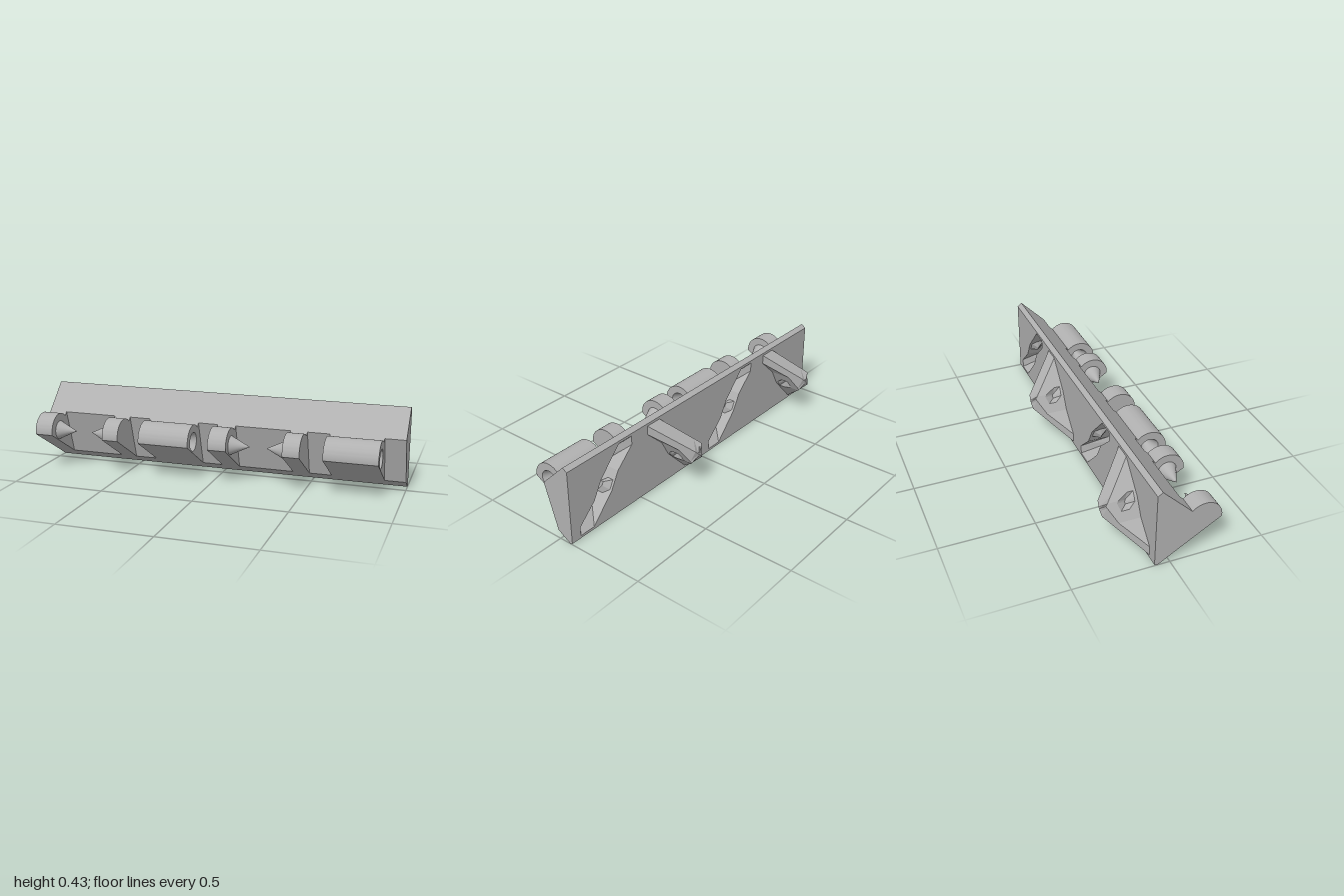
import * as THREE from 'three';
import { toCreasedNormals } from 'three/addons/utils/BufferGeometryUtils.js';

const BACK = -0.08, MID_Y = 0.21, R2 = Math.SQRT2;
const PIN = { y: 0.21, z: 0.17, r: 0.051 };

// Flat-faced geometry from a list of quads
function fromQuads(quads) {
  const pos = [];
  for (const [a, b, c, d] of quads) for (const p of [a, b, c, a, c, d]) pos.push(...p);
  const g = new THREE.BufferGeometry();
  g.setAttribute('position', new THREE.Float32BufferAttribute(pos, 3));
  g.computeVertexNormals();
  return g;
}

// S-shaped outline of the diagonal key: half-width along the diagonal
const SIDE = [[-0.27, 0], [-0.235, 0.035], [-0.09, 0.03], [0.01, 0.06], [0.205, 0.065], [0.27, 0]];
function high(t) {
  for (let i = 1; i < SIDE.length; i++) {
    const [t0, w0] = SIDE[i - 1], [t1, w1] = SIDE[i];
    if (t <= t1) return w0 + (w1 - w0) * (t - t0) / (t1 - t0);
  }
  return 0;
}
const low = t => -high(-t);
const STEPS = [-0.27, -0.235, -0.205, -0.09, -0.04, -0.01, 0, 0.01, 0.04, 0.09, 0.205, 0.235, 0.27];

// Pyramid-shaped key; used as a raised key or, inverted, as a socket
function keyGeometry(cx, socket) {
  const s = socket ? -1 : 1, maxDepth = socket ? 0.13 : 0.18;
  const depth = (t, w) =>
    Math.max(0, Math.min(maxDepth, (0.19 - (Math.abs(t) + Math.abs(w)) / R2) / 0.165 * 0.18));
  const point = (t, w, d) => [cx + s * (t - w) / R2, MID_Y + (t + w) / R2, BACK - s * d];
  const section = t => {
    const lo = low(t), hi = high(t), dl = depth(t, lo), dh = depth(t, hi);
    const dent = Math.abs(t) < 0.02 ? 0.03 : 0; // small detent in each wall
    return [
      point(t, lo, 0), point(t, lo, dl * 0.1), point(t, lo + dent, dl * 0.35), point(t, lo, dl * 0.65),
      point(t, lo, dl), point(t, 0, depth(t, 0)), point(t, hi, dh),
      point(t, hi, dh * 0.65), point(t, hi - dent, dh * 0.35), point(t, hi, dh * 0.1), point(t, hi, 0),
    ];
  };
  const rows = STEPS.map(section), quads = [];
  for (let i = 1; i < rows.length; i++) {
    for (let k = 1; k < rows[i].length; k++) {
      const q = [rows[i - 1][k - 1], rows[i - 1][k], rows[i][k], rows[i][k - 1]];
      quads.push(socket ? q.reverse() : q);
    }
  }
  return fromQuads(quads);
}

// Long bar, open at the back where the plate goes
function barGeometry() {
  const profile = [[BACK, 0.415], [-0.055, 0.433], [0.085, 0.293], [0.01, 0.047], [-0.065, 0], [BACK, 0.005]];
  const at = (x, i) => [x, profile[i][1], profile[i][0]];
  const quads = [];
  for (let i = 1; i < profile.length; i++) quads.push([at(-1, i - 1), at(-1, i), at(1, i), at(1, i - 1)]);
  for (const x of [-1, 1]) {
    for (const q of [[0, 1, 2, 3], [0, 3, 4, 5]]) {
      const c = q.map(i => at(x, i));
      quads.push(x > 0 ? c : c.reverse());
    }
  }
  return fromQuads(quads);
}

// Back plate with openings for the sockets
function plateGeometry(sockets) {
  const plate = new THREE.Shape([[-1, 0.005], [1, 0.005], [1, 0.415], [-1, 0.415]].map(p => new THREE.Vector2(...p)));
  for (const cx of sockets) {
    const at = (t, w) => new THREE.Vector2(-cx + (t - w) / R2, MID_Y + (t + w) / R2);
    const upper = STEPS.map(t => at(t, high(t)));
    const lower = STEPS.slice(1, -1).reverse().map(t => at(t, low(t)));
    plate.holes.push(new THREE.Path([...upper, ...lower]));
  }
  return new THREE.ShapeGeometry(plate).rotateY(Math.PI).translate(0, 0, BACK);
}

// Hinge knuckle with its arm, extruded along x
function knuckleGeometry(x0, x1, bored) {
  const pts = [[0.01, 0.047], [0.085, 0.293]];
  for (let i = 0; i <= 28; i++) {
    const a = THREE.MathUtils.degToRad(135.9 - i / 28 * 142);
    pts.push([PIN.z + 0.093 * Math.cos(a), PIN.y + 0.093 * Math.sin(a)]);
  }
  const shape = new THREE.Shape(pts.map(([z, y]) => new THREE.Vector2(-z, y)));
  if (bored) shape.holes.push(new THREE.Path().absarc(-PIN.z, PIN.y, PIN.r, 0, Math.PI * 2, true));
  const g = new THREE.ExtrudeGeometry(shape, { depth: x1 - x0, bevelEnabled: false, curveSegments: 24 });
  return toCreasedNormals(g.rotateY(Math.PI / 2).translate(x0, 0, 0), 0.4);
}

// Cone on the hinge axis: base at x, tip towards dir
function coneGeometry(x, dir, length) {
  return new THREE.ConeGeometry(PIN.r, length, 48, 1, true)
    .rotateZ(-dir * Math.PI / 2).translate(x + dir * length / 2, PIN.y, PIN.z);
}

export function createModel() {
  const model = new THREE.Group();
  model.name = 'hingeBar';
  const grey = new THREE.MeshStandardMaterial({ color: 0xb0b0b0, side: THREE.FrontSide });
  grey.name = 'light grey';
  const inner = geometry => { // turn a surface inside out
    const g = geometry.toNonIndexed(), p = g.attributes.position, n = g.attributes.normal;
    const a = new THREE.Vector3(), b = new THREE.Vector3();
    for (const attr of [p, n]) {
      for (let i = 0; i < attr.count; i += 3) {
        a.fromBufferAttribute(attr, i + 1);
        b.fromBufferAttribute(attr, i + 2);
        attr.setXYZ(i + 1, b.x, b.y, b.z);
        attr.setXYZ(i + 2, a.x, a.y, a.z);
      }
    }
    for (let i = 0; i < n.count; i++) n.setXYZ(i, -n.getX(i), -n.getY(i), -n.getZ(i));
    return g;
  };
  const add = (name, geometry) => {
    const mesh = new THREE.Mesh(geometry, grey);
    mesh.name = name;
    model.add(mesh);
  };

  add('bar', barGeometry());
  add('backPlate', plateGeometry([-0.25, 0.75]));

  // Two identical hinge sections along the bar
  for (const x of [-1, 0]) {
    add('leftPinKnuckle', knuckleGeometry(x, x + 0.1, false));
    add('leftPin', coneGeometry(x + 0.1, 1, 0.105));
    add('rightPinKnuckle', knuckleGeometry(x + 0.4, x + 0.49, false));
    add('rightPin', coneGeometry(x + 0.4, -1, 0.105));
    add('boredKnuckle', knuckleGeometry(x + 0.61, x + 0.89, true));
    add('boreStart', inner(coneGeometry(x + 0.61, 1, 0.12)));
    add('boreEnd', inner(coneGeometry(x + 0.89, -1, 0.12)));
    add('key', keyGeometry(x + 0.25, false));
    add('socket', keyGeometry(x + 0.75, true));
  }
  return model;
}
